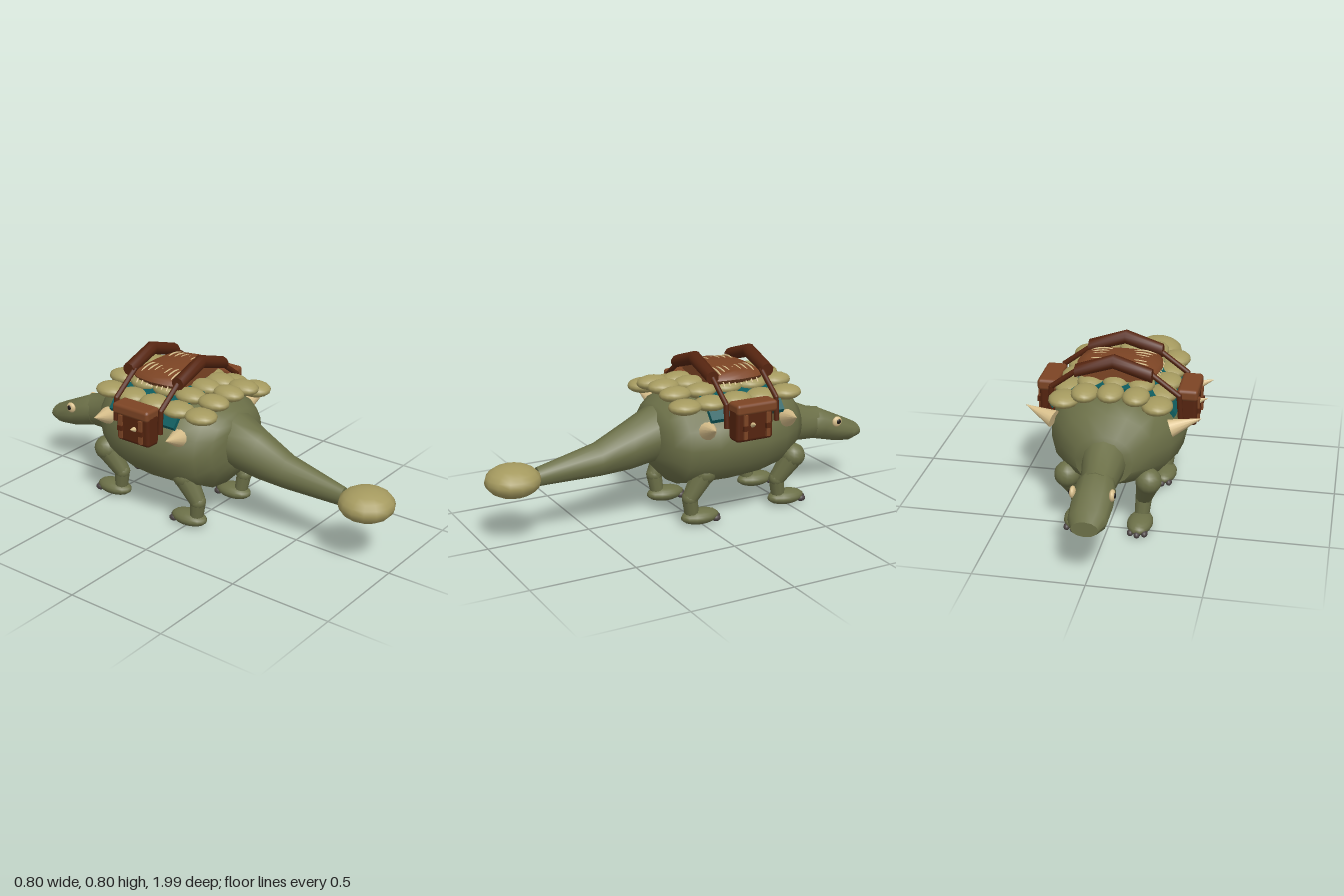
import * as THREE from 'three';
import { toCreasedNormals } from 'three/addons/utils/BufferGeometryUtils.js';
import { RoundedBoxGeometry } from 'three/addons/geometries/RoundedBoxGeometry.js';

const paint = (name, color) => Object.assign(new THREE.MeshStandardMaterial({ color }), { name });
const V = (x, y, z) => new THREE.Vector3(x, y, z);

// Skin through elliptical rings [z, centreY, radiusX, radiusY], given in rising z
function loft(rings, sides = 12, power = 1) {
  const pos = [], index = [];
  const first = rings[0], last = rings[rings.length - 1];
  const all = [[first[0], first[1], 0, 0], ...rings, [last[0], last[1], 0, 0]];
  const bend = (v) => Math.sign(v) * Math.abs(v) ** power;
  all.forEach(([z, cy, rx, ry], i) => {
    for (let j = 0; j < sides; j++) {
      const t = (j / sides) * Math.PI * 2 + Math.PI / 2;
      pos.push(rx * bend(Math.cos(t)), cy + ry * bend(Math.sin(t)), z);
      if (i === all.length - 1) continue;
      const a = i * sides + j, b = i * sides + ((j + 1) % sides);
      const c = b + sides, d = a + sides;
      if (i > 0) index.push(a, b, d);
      else index.push(a, c, d);
      if (i > 0 && i < all.length - 2) index.push(b, c, d);
    }
  });
  const g = new THREE.BufferGeometry();
  g.setAttribute('position', new THREE.Float32BufferAttribute(pos, 3));
  g.setIndex(index);
  return toCreasedNormals(g, 0.85);
}

export function createModel() {
  const model = new THREE.Group();
  model.name = 'armouredDinosaurMount';
  const skin = paint('oliveSkin', 0x6c7048);
  const plate = paint('khakiPlate', 0xa59a5f);
  const horn = paint('creamHorn', 0xd9c08c);
  const leather = paint('brownLeather', 0x7c4424);
  const dark = paint('darkLeather', 0x55240f);
  const cloth = paint('tealCloth', 0x0e5c5e);
  const claw = paint('greyClaw', 0x4c4444);
  const black = paint('pupilBlack', 0x1a1512);

  const add = (name, geometry, material, parent = model) => {
    const m = new THREE.Mesh(geometry, material);
    m.name = name;
    parent.add(m);
    return m;
  };
  const group = (name) => {
    const g = new THREE.Group();
    g.name = name;
    model.add(g);
    return g;
  };
  const blob = (name, mat, p, r, parent) => {
    const m = add(name, new THREE.SphereGeometry(1, 14, 10), mat, parent);
    m.position.set(...p);
    m.scale.set(...r);
    return m;
  };
  // Tapered rod from a (radius ra) to b (radius rb)
  const rod = (name, mat, a, b, ra, rb, parent, sides = 10) => {
    const d = b.clone().sub(a);
    const m = add(name, new THREE.CylinderGeometry(rb, ra, d.length(), sides), mat, parent);
    m.position.copy(a).addScaledVector(d, 0.5);
    m.quaternion.setFromUnitVectors(V(0, 1, 0), d.normalize());
    return m;
  };

  // Body, tail, neck and head
  add('body', loft([
    [-0.595, 0.39, 0.13, 0.115], [-0.52, 0.41, 0.21, 0.17], [-0.42, 0.405, 0.275, 0.205],
    [-0.3, 0.4, 0.305, 0.223], [-0.18, 0.4, 0.316, 0.229], [-0.04, 0.4, 0.307, 0.225],
    [0.09, 0.395, 0.26, 0.212], [0.15, 0.41, 0.2, 0.16], [0.18, 0.42, 0.13, 0.12],
  ], 16, 0.9), skin);
  add('tail', loft([
    [0.12, 0.43, 0.13, 0.13], [0.165, 0.43, 0.13, 0.132], [0.3, 0.385, 0.1, 0.113],
    [0.45, 0.345, 0.077, 0.08], [0.75, 0.31, 0.036, 0.045],
  ]), skin);
  blob('tailClub', plate, [0, 0.313, 0.867], [0.13, 0.075, 0.13]);
  add('neck', loft([[-0.77, 0.345, 0.072, 0.08], [-0.7, 0.352, 0.08, 0.087], [-0.57, 0.385, 0.102, 0.112]]), skin);
  add('head', loft([
    [-1, 0.277, 0.06, 0.035], [-0.94, 0.284, 0.086, 0.058], [-0.85, 0.31, 0.092, 0.074],
    [-0.77, 0.338, 0.089, 0.083], [-0.725, 0.346, 0.078, 0.08],
  ]), skin);

  for (const s of [1, -1]) {
    const side = s > 0 ? 'left' : 'right';

    // Eyes
    blob(side + 'Eye', horn, [s * 0.086, 0.358, -0.835], [0.014, 0.027, 0.027]);
    blob(side + 'Pupil', black, [s * 0.097, 0.36, -0.838], [0.006, 0.013, 0.013]);

    // Legs with feet and claws
    for (const [end, z, hipX, footX] of [['Back', 0, 0.195, 0.178], ['Front', -0.5, 0.185, 0.146]]) {
      const leg = group(side + end + 'Leg');
      const hip = V(s * hipX, 0.265, z - 0.01);
      const knee = V(s * (footX + 0.007), 0.145, z + 0.06);
      const ankle = V(s * footX, 0.05, z + 0.045);
      blob('hip', skin, hip.toArray(), [0.06, 0.06, 0.06], leg);
      rod('thigh', skin, hip, knee, 0.058, 0.039, leg);
      blob('knee', skin, knee.toArray(), [0.039, 0.039, 0.039], leg);
      rod('shin', skin, knee, ankle, 0.038, 0.033, leg);
      blob('foot', skin, [s * footX, 0.042, z + 0.002], [0.059, 0.037, 0.098], leg);
      for (const i of [-1, 0, 1]) {
        blob('claw', claw, [s * footX + i * 0.032, 0.028, z - 0.085 + Math.abs(i) * 0.014], [0.015, 0.016, 0.022], leg);
      }
    }

    // Flank spikes
    for (const [z, tipZ] of [[-0.42, -0.385], [0.01, 0.045]]) {
      rod(side + 'FlankSpike', horn, V(s * 0.265, 0.49, z), V(s * 0.4, 0.533, tipZ), 0.042, 0.001, model, 12);
    }

    // Saddlebag with flap, straps and peg
    const bag = group(side + 'Saddlebag');
    add('pouch', new RoundedBoxGeometry(0.085, 0.165, 0.195, 2, 0.018), dark, bag).position.set(s * 0.322, 0.523, -0.185);
    add('flap', new RoundedBoxGeometry(0.095, 0.055, 0.215, 2, 0.016), leather, bag).position.set(s * 0.322, 0.596, -0.195);
    for (const z of [-0.13, -0.25]) {
      add('bagStrap', new THREE.BoxGeometry(0.014, 0.115, 0.02), leather, bag).position.set(s * 0.367, 0.515, z);
      add('buckle', new THREE.BoxGeometry(0.014, 0.024, 0.028), dark, bag).position.set(s * 0.372, 0.51, z);
    }
    rod('peg', horn, V(s * 0.36, 0.52, -0.17), V(s * 0.4, 0.532, -0.165), 0.014, 0.001, bag, 8);

    // Harness straps running from the arches down the flanks
    for (const z of [-0.07, -0.338]) {
      const bend = V(s * 0.292, 0.612, z);
      rod(side + 'HarnessStrap', dark, V(s * 0.155, 0.715, z), bend, 0.0125, 0.0125);
      blob(side + 'StrapBend', dark, bend.toArray(), [0.0125, 0.0125, 0.0125]);
      rod(side + 'HarnessStrap', dark, bend, V(s * 0.3, 0.5, z), 0.0125, 0.0125);
    }
  }

  // Back plates in five rows
  const plates = group('backPlates');
  for (const z of [0.1, -0.035, -0.17, -0.305, -0.44]) {
    for (const [x, y, rx] of [[0, 0.648, 0.061], [0.115, 0.64, 0.062], [0.21, 0.603, 0.071]]) {
      for (const s of x ? [1, -1] : [1]) blob('plate', plate, [s * x, y, z], [rx, 0.035, 0.08], plates);
    }
  }

  // Saddle blanket draped over the back
  const drape = [[0, 0.653], [0.09, 0.648], [0.18, 0.627], [0.25, 0.59], [0.288, 0.545]];
  const over = [...drape.map(([x, y]) => [-x, y]).reverse(), ...drape.slice(1)];
  const outline = [...over, ...over.map(([x, y]) => [x * 0.96, y - 0.018]).reverse()];
  const blanketShape = new THREE.Shape(outline.map(([x, y]) => new THREE.Vector2(x, y)));
  add('blanket', new THREE.ExtrudeGeometry(blanketShape, { depth: 0.39, bevelEnabled: false }), cloth).position.z = -0.39;

  // Seat with cord lashings
  add('seat', loft([
    [-0.335, 0.688, 0.165, 0.03], [-0.3, 0.69, 0.183, 0.036], [-0.21, 0.692, 0.198, 0.041],
    [-0.12, 0.69, 0.183, 0.036], [-0.085, 0.688, 0.165, 0.03],
  ], 16, 0.8), leather);
  for (let i = 0; i < 7; i++) {
    const z = -0.3 + i * 0.03;
    const path = new THREE.CatmullRomCurve3([
      V(-0.19, 0.665, z), V(-0.155, 0.708, z), V(-0.09, 0.727, z), V(0, 0.712, z),
      V(0.09, 0.727, z), V(0.155, 0.708, z), V(0.19, 0.665, z),
    ]);
    add('seatCord', new THREE.TubeGeometry(path, 24, 0.004, 6), horn);
  }

  // Peaked arches at the front and back of the saddle
  for (const [name, z] of [['frontArch', -0.362], ['rearArch', -0.065]]) {
    const g = loft([[-0.174, 0.71, 0.034, 0.031], [0, 0.767, 0.034, 0.033], [0.174, 0.71, 0.034, 0.031]], 10);
    add(name, g.rotateY(Math.PI / 2), dark).position.z = z;
  }
  return model;
}
